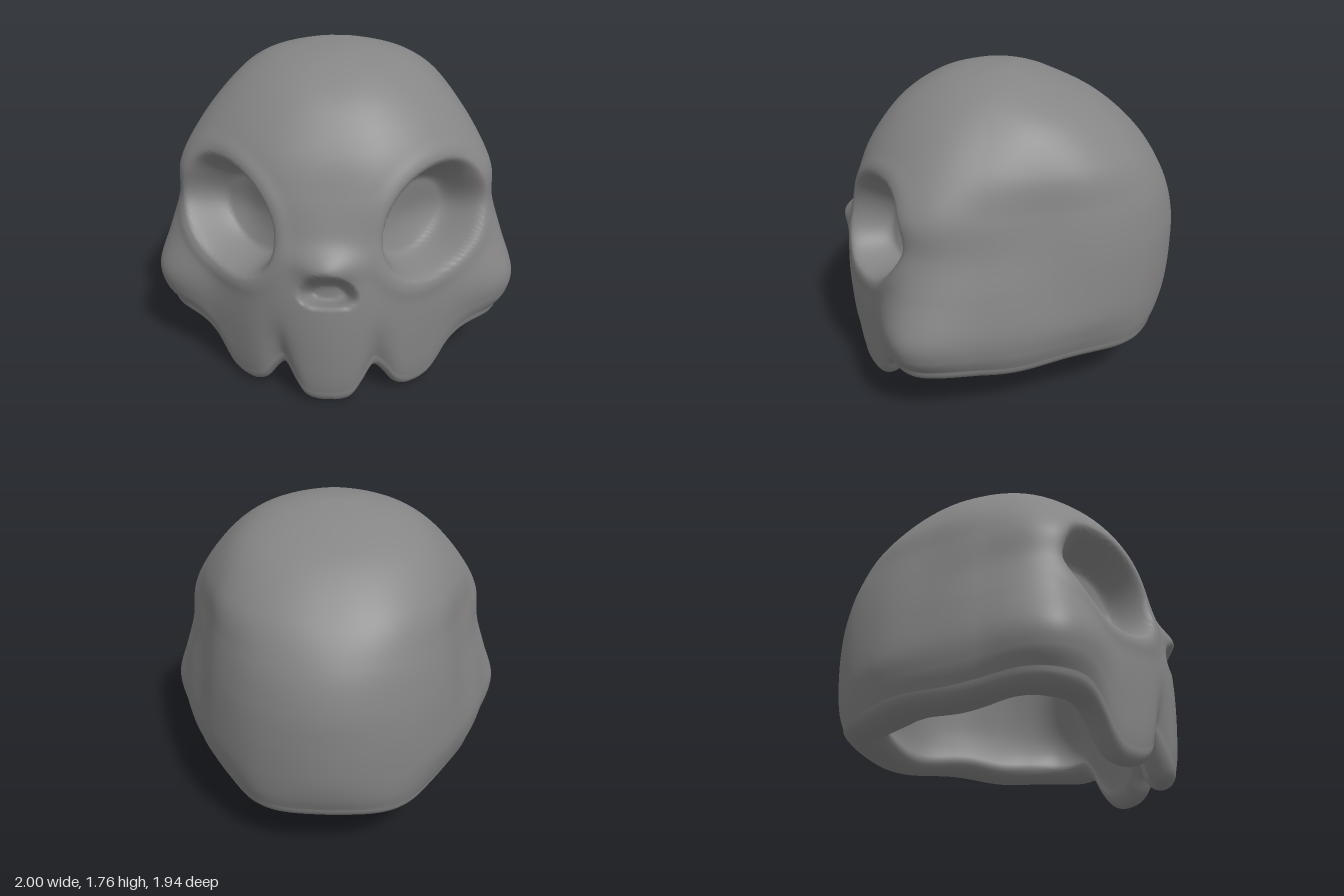
import * as THREE from 'three';

const { smoothstep, lerp } = THREE.MathUtils;

// Cross-sections from rim to crown: height, then radius every 22.5 degrees from front to back
const RINGS = [
  [0.33, 0.92, 0.88, 0.86, 0.99, 0.85, 0.79, 0.81, 0.89, 0.90],
  [0.42, 0.94, 0.90, 0.88, 1.045, 0.89, 0.82, 0.84, 0.915, 0.935],
  [0.55, 0.95, 0.91, 0.895, 1.06, 0.905, 0.835, 0.865, 0.93, 0.96],
  [0.75, 0.93, 0.90, 0.87, 0.985, 0.87, 0.81, 0.86, 0.935, 0.97],
  [0.95, 0.88, 0.87, 0.84, 0.92, 0.82, 0.775, 0.84, 0.92, 0.96],
  [1.15, 0.82, 0.84, 0.84, 0.90, 0.785, 0.74, 0.80, 0.875, 0.90],
  [1.35, 0.74, 0.76, 0.77, 0.78, 0.72, 0.70, 0.74, 0.775, 0.77],
  [1.55, 0.59, 0.60, 0.60, 0.60, 0.57, 0.57, 0.57, 0.56, 0.55],
  [1.68, 0.40, 0.41, 0.41, 0.41, 0.40, 0.37, 0.33, 0.30, 0.29],
  [1.745, 0.22, 0.21, 0.20, 0.20, 0.18, 0.15, 0.12, 0.10, 0.09],
  [1.76, 0, 0, 0, 0, 0, 0, 0, 0, 0],
];
const TOP = RINGS.length - 1;

// Height of the tooth row every 4 degrees from the front
const TEETH = [0, 0, 0.02, 0.1, 0.175, 0.13, 0.05, 0.012, 0, 0, 0.018, 0.075, 0.155, 0.21, 0.24, 0.25];

const gauss = (v, w) => Math.exp(-((v / w) ** 2));

function spline(a, b, c, d, t) {
  return b + 0.5 * t * (c - a + t * (2 * a - 5 * b + 4 * c - d + t * (3 * (b - c) + d - a)));
}

// Smooth radius of one ring at an angle in degrees (0 = front, 180 = back)
function ringRadius(ring, deg) {
  const i = Math.min(Math.floor(deg / 22.5), 7);
  const at = (k) => ring[1 + (k < 0 ? -k : k > 8 ? 16 - k : k)];
  return spline(at(i - 1), at(i), at(i + 1), at(i + 2), deg / 22.5 - i);
}

function rimHeight(deg) {
  const i = Math.floor(deg / 4);
  const at = (k) => TEETH[Math.min(Math.abs(k), TEETH.length - 1)];
  const wave = 0.012 * Math.sin((deg - 60) * 0.12) * smoothstep(deg, 60, 80);
  return spline(at(i - 1), at(i), at(i + 1), at(i + 2), deg / 4 - i) + wave;
}

// Smooth skull form without openings: s = 0 at the rim, 1 at the crown
function skullForm(deg, s) {
  const t = s * TOP, i = Math.min(Math.floor(t), TOP - 1), f = t - i;
  const ring = (k) => RINGS[k < 0 ? 0 : k > TOP ? TOP - 1 : k];
  const y = (k) => ring(k)[0];
  const r = (k) => (k > TOP ? -1 : 1) * ringRadius(ring(k), deg);
  const height = spline(y(i - 1), y(i), y(i + 1), y(i + 2), f);
  const low = 1 - smoothstep(height, 0.33, 0.62);
  return {
    r: spline(r(i - 1), r(i), r(i + 1), r(i + 2), f),
    y: height - (0.25 - rimHeight(deg)) * low,
    groove: 0.03 * low * low * gauss(deg - 16.5, 5),
  };
}

// Push the eye sockets, nose bump and nose opening into an outer point
function carve(p) {
  const side = Math.sign(p.x) || 1, x = Math.abs(p.x), y = p.y;
  const front = smoothstep(p.z, 0.3, 0.48);
  // eye socket, sunk inward and slightly down, with a faint raised rim
  const u = (x - 0.54) / 0.27, v = (y - 0.97) / 0.295 - 0.1 * u;
  const d = Math.hypot(u, v);
  const depth = front * (0.18 * (1 - smoothstep(d, 0.64, 1.04)) + 0.07 * Math.max(0, 1 - d * d)
    - 0.008 * gauss(d - 1.17, 0.14));
  p.x -= side * 0.6 * depth;
  p.y -= 0.25 * depth;
  p.z -= 0.8 * depth;
  // nose bridge tip
  p.z += 0.06 * front * gauss(x, 0.14) * gauss(y - 0.83, 0.075);
  // arched nose opening with a dipped lower edge
  const nu = x / (0.16 - 0.25 * Math.max(0, y - 0.62));
  const dip = y < 0.7 ? 0.05 * (1 - Math.min(1, nu * nu)) : 0;
  const hole = front * (1 - smoothstep(Math.hypot(nu, (y - dip - 0.685) / 0.12), 0.6, 1.05));
  p.z -= 0.15 * hole;
  p.y -= 0.09 * hole;
  return p;
}

// One vertical profile: crown to rim outside, round the lip, back up inside
function profile(angle, rows) {
  const deg = Math.abs(THREE.MathUtils.radToDeg(angle));
  const point = (r, y) => new THREE.Vector3(r * Math.sin(angle), y, r * Math.cos(angle));
  const pts = [];
  for (let i = 0; i <= rows.outer; i++) {
    const f = skullForm(deg, 1 - i / rows.outer);
    pts.push(carve(point(f.r - f.groove, f.y)));
  }
  const rim = skullForm(deg, 0);
  const thick = lerp(0.15, 0.25, smoothstep(deg, 35, 70));
  for (let i = 1; i < rows.lip; i++) {
    const a = (i / rows.lip) * Math.PI, across = 0.5 * (1 - Math.cos(a));
    pts.push(point(rim.r - thick * across - rim.groove * (1 - across), rim.y - 0.08 * Math.sin(a)));
  }
  for (let i = 0; i <= rows.inner; i++) {
    const s = i / rows.inner, f = skullForm(deg, s);
    const k = lerp((rim.r - thick) / rim.r, 0.64, smoothstep(s, 0, 0.4));
    pts.push(point(f.r * k, f.y - 0.3 * smoothstep(s, 0.1, 1)));
  }
  return pts;
}

function skullGeometry() {
  const cols = 320, rows = { outer: 120, lip: 14, inner: 40 };
  const positions = [], index = [];
  let n = 0;
  for (let c = 0; c < cols; c++) {
    const pts = profile((c / cols) * 2 * Math.PI - Math.PI, rows);
    n = pts.length;
    for (const p of pts) positions.push(p.x, p.y, p.z);
  }
  for (let c = 0; c < cols; c++) {
    const a = c * n, b = ((c + 1) % cols) * n;
    for (let i = 0; i < n - 1; i++) {
      index.push(a + i, a + i + 1, b + i + 1, a + i, b + i + 1, b + i);
    }
  }
  const geometry = new THREE.BufferGeometry();
  geometry.setAttribute('position', new THREE.Float32BufferAttribute(positions, 3));
  geometry.setIndex(index);
  geometry.computeVertexNormals();
  return geometry;
}

export function createModel() {
  const group = new THREE.Group();
  group.name = 'skullModel';
  const material = new THREE.MeshStandardMaterial({ color: 0x858585 });
  const skull = new THREE.Mesh(skullGeometry(), material);
  skull.name = 'skull';
  group.add(skull);
  return group;
}
